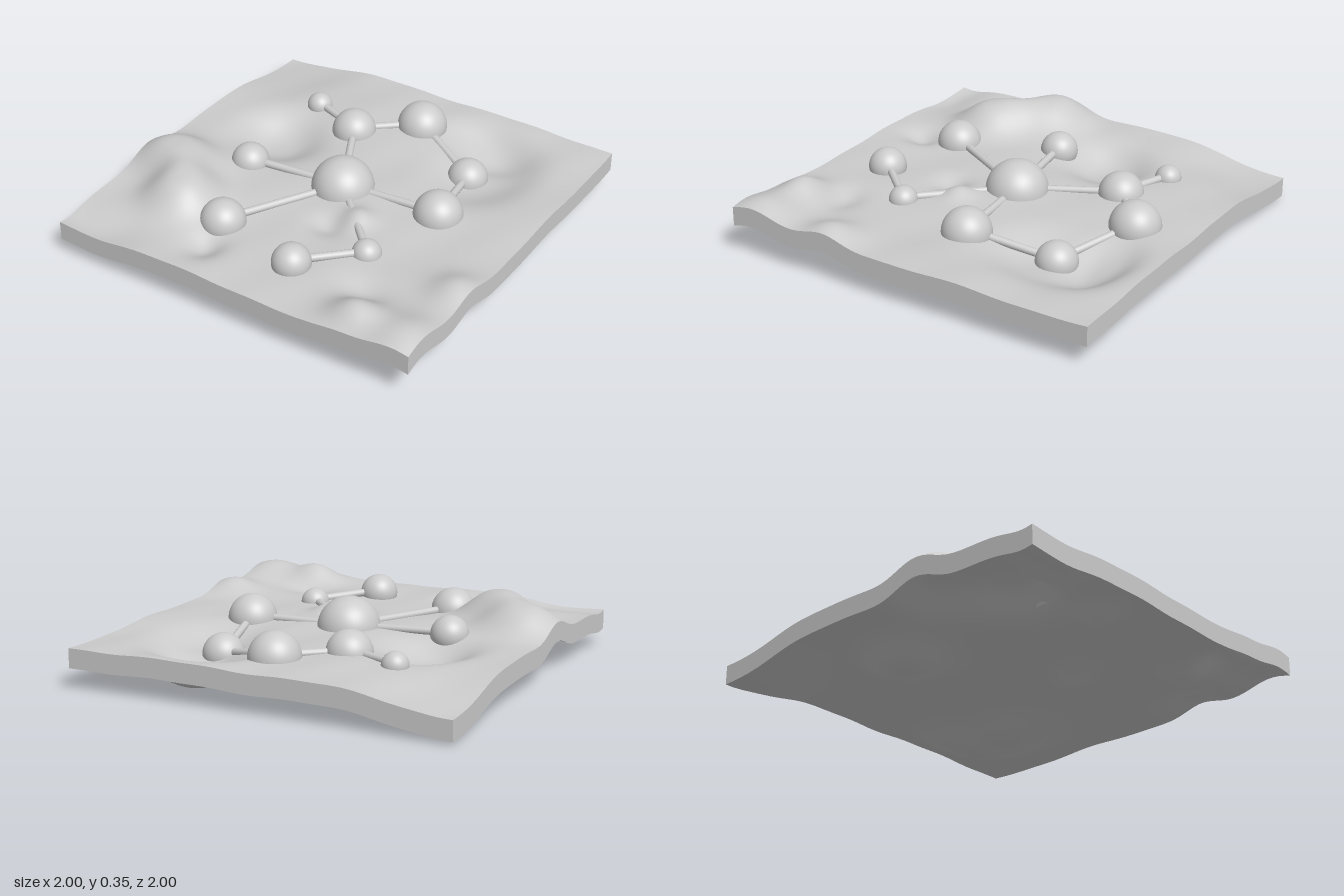
import * as THREE from 'three';

// Terrain features: x, z, height, x radius, z radius, sharpness (1 = soft, 2 = flat-floored)
const FEATURES = [
  [-0.82, 0.29, 0.13, 0.2, 0.18, 1.3],    // main hill, a diagonal ridge
  [-0.6, 0.53, 0.135, 0.18, 0.19, 1.3],
  [-0.53, -0.22, -0.093, 0.2, 0.2, 1.4],  // left crater
  [0.4, -0.73, -0.055, 0.23, 0.15, 1.5],  // back crater, two lobes
  [0.53, -0.52, -0.075, 0.23, 0.31, 1.5],
  [-1, -1, -0.085, 0.4, 0.4, 1],          // sunken corner
  [0.92, 0.88, 0.085, 0.19, 0.19, 1],     // front corner knolls
  [0.63, 0.86, 0.085, 0.13, 0.12, 1],
  [0.56, 0.67, -0.04, 0.13, 0.1, 1],
  [0.92, 0.45, 0.065, 0.13, 0.14, 1],
  [0.225, 0.21, 0.045, 0.08, 0.08, 1],    // mound burying one rod
  [0.12, 0.32, -0.035, 0.09, 0.08, 1],
  [-0.28, 0.78, -0.05, 0.09, 0.1, 1],
  [-0.85, 0.95, -0.035, 0.3, 0.12, 1],
];

function terrainHeight(x, z) {
  let h = 0.203 + 0.007 * Math.sin(5 * x + 2 * z + 1) * Math.cos(6 * z - 2 * x)
    + 0.004 * Math.sin(13 * x - 4 * z) * Math.sin(11 * z + 5 * x);
  for (const [fx, fz, amp, rx, rz, p] of FEATURES) {
    const d = ((x - fx) / rx) ** 2 + ((z - fz) / rz) ** 2;
    h += amp * Math.exp(-(d ** p));
  }
  return h;
}

// Domes: x, centre height, z, radius
const NODES = [
  [0, 0.195, 0, 0.16],
  [-0.235, 0.2, -0.465, 0.115],
  [0.04, 0.2, -0.7, 0.13],
  [0.435, 0.125, -0.5, 0.105],
  [0.525, 0.2, -0.05, 0.125],
  [-0.525, 0.2, -0.575, 0.067],
  [-0.52, 0.2, 0.07, 0.097],
  [-0.325, 0.2, 0.57, 0.115],
  [0.405, 0.2, 0.41, 0.073],
  [0.16, 0.22, 0.685, 0.097],
];

// Rods join pairs of domes
const LINKS = [[0, 1], [1, 2], [2, 3], [3, 4], [4, 0], [1, 5], [0, 6], [0, 7], [0, 8], [8, 9]];

export function createModel() {
  const group = new THREE.Group();
  const material = new THREE.MeshStandardMaterial({ color: 0xcccccc });
  const open = new THREE.MeshStandardMaterial({ color: 0xcccccc, side: THREE.DoubleSide });
  const add = (name, geometry, mat = material) => {
    const mesh = new THREE.Mesh(geometry, mat);
    mesh.name = name;
    group.add(mesh);
    return mesh;
  };

  // Wavy slab of even thickness
  const slab = new THREE.BoxGeometry(2, 0.1, 2, 110, 1, 110);
  const pos = slab.attributes.position;
  for (let i = 0; i < pos.count; i++) {
    const top = terrainHeight(pos.getX(i), pos.getZ(i));
    pos.setY(i, Math.max(0, top + pos.getY(i) - 0.05));
  }
  slab.computeVertexNormals();
  add('terrainSlab', slab);

  // Half-sunk domes, cut off just inside the slab
  const points = NODES.map(([x, y, z]) => new THREE.Vector3(x, y, z));
  NODES.forEach(([, , , r], i) => {
    const theta = Math.acos(Math.max(-0.95, -0.05 / r));
    const dome = new THREE.SphereGeometry(r, 40, 24, 0, Math.PI * 2, 0, theta);
    add('nodeDome' + (i + 1), dome, open).position.copy(points[i]);
  });

  // Connecting rods
  const up = new THREE.Vector3(0, 1, 0);
  LINKS.forEach(([a, b], i) => {
    const dir = points[b].clone().sub(points[a]);
    const rod = add('connectingRod' + (i + 1), new THREE.CylinderGeometry(0.02, 0.02, dir.length(), 16));
    rod.position.copy(points[a]).lerp(points[b], 0.5);
    rod.position.y += 0.01;
    rod.quaternion.setFromUnitVectors(up, dir.normalize());
  });

  return group;
}
